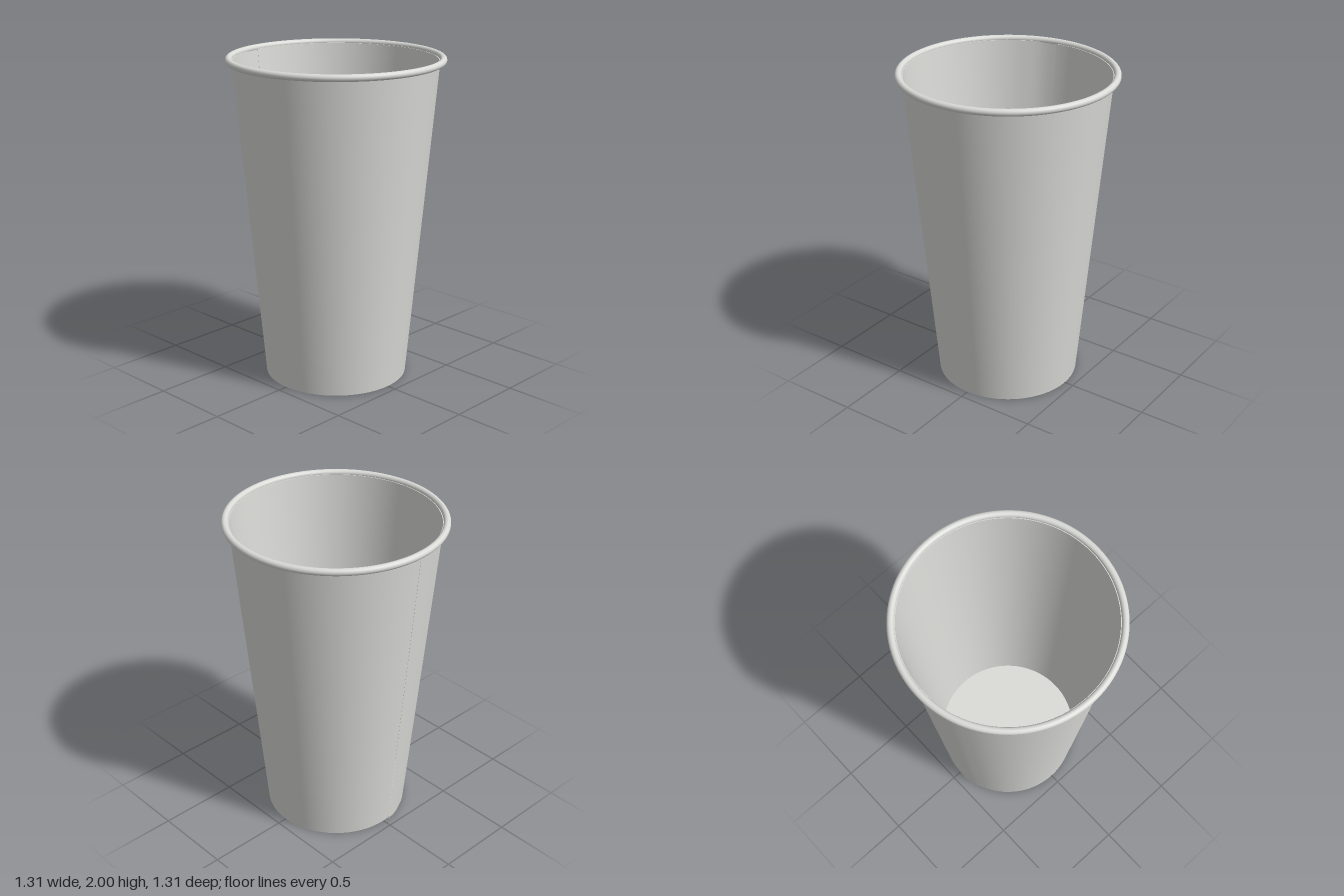
import * as THREE from 'three';
import { toCreasedNormals } from 'three/addons/utils/BufferGeometryUtils.js';

const deg = THREE.MathUtils.degToRad;
const profile = (pairs) => pairs.map(([r, y]) => new THREE.Vector2(r, y));

export function createModel() {
  const cup = new THREE.Group();
  cup.name = 'paperCup';
  const paper = new THREE.MeshStandardMaterial({ color: 0xdadad7, side: THREE.DoubleSide });
  paper.name = 'off-white paper';

  const add = (name, geometry) => {
    const mesh = new THREE.Mesh(geometry, paper);
    mesh.name = name;
    cup.add(mesh);
    return mesh;
  };

  // Tapered wall: one sheet rolled slightly past a full turn, overlapping at the back seam
  const start = deg(-174);
  const turn = deg(366);
  const segments = 122;
  const wall = new THREE.LatheGeometry(
    profile([[0.434, 0], [0.44, 0], [0.617, 1.975], [0.611, 1.975], [0.434, 0]]),
    segments, start, turn
  );
  const pos = wall.attributes.position;
  const rows = pos.count / (segments + 1);
  for (let i = 0; i < pos.count; i++) {
    const angle = Math.floor(i / rows) / segments * turn;
    // Lift the outer end over the inner end, easing back to the true cone
    const lift = 0.007 * (1 - THREE.MathUtils.smoothstep(angle, deg(6), deg(20)));
    const r = Math.hypot(pos.getX(i), pos.getZ(i));
    pos.setX(i, pos.getX(i) * (r + lift) / r);
    pos.setZ(i, pos.getZ(i) * (r + lift) / r);
  }
  add('wall', toCreasedNormals(wall, deg(30)));

  // Recessed floor with its skirt folded down to the base
  const floor = new THREE.LatheGeometry(
    profile([[0, 0.085], [0.434, 0.085], [0.428, 0.002], [0.434, 0.002], [0.442, 0.097], [0, 0.097]]), 120
  );
  add('floor', toCreasedNormals(floor, deg(30)));

  // Rolled lip
  const rim = add('rolledRim', new THREE.TorusGeometry(0.636, 0.021, 20, 120));
  rim.rotation.x = Math.PI / 2;
  rim.position.y = 1.979;

  return cup;
}
